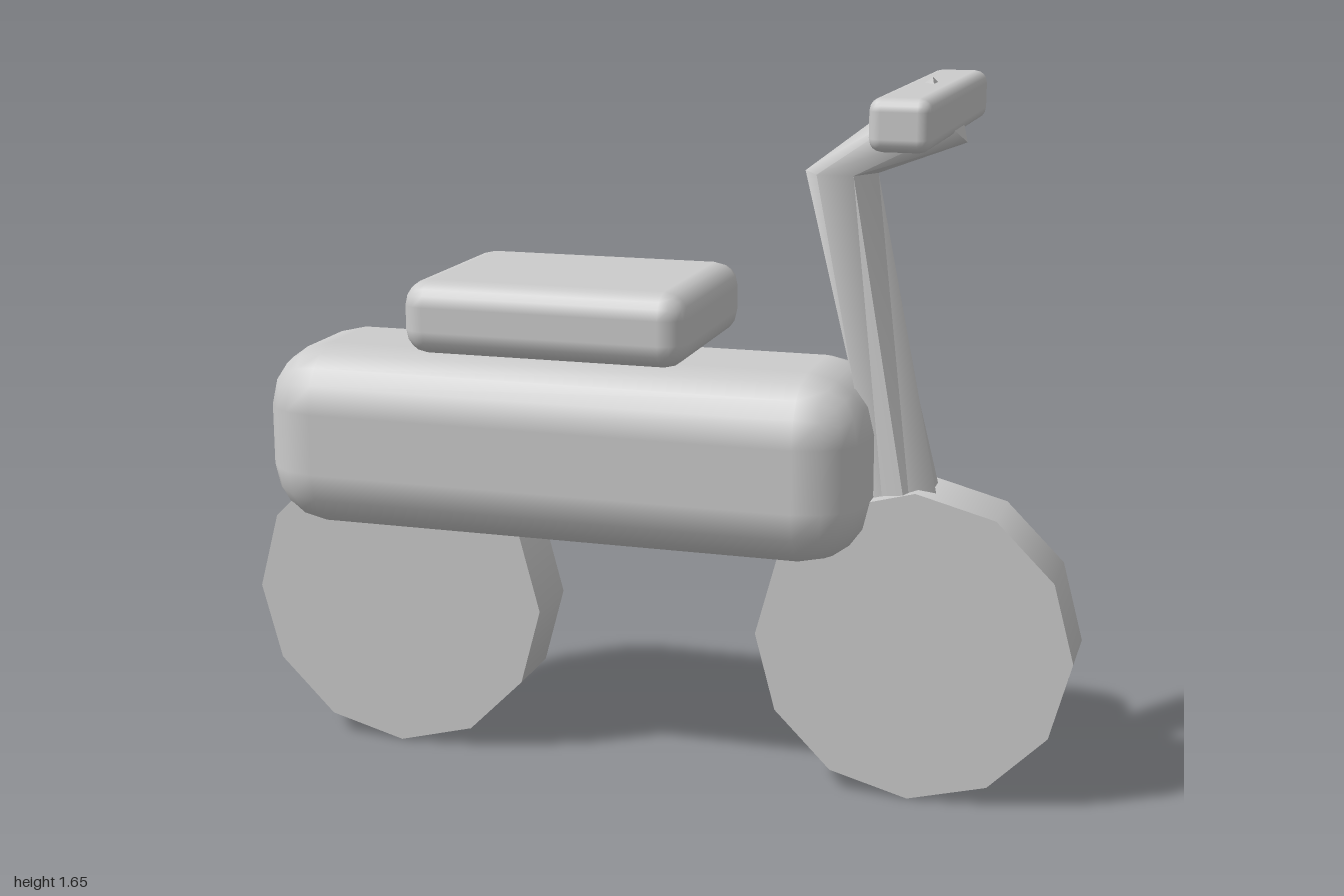
import * as THREE from 'three';
import { toCreasedNormals } from 'three/addons/utils/BufferGeometryUtils.js';
import { RoundedBoxGeometry } from 'three/addons/geometries/RoundedBoxGeometry.js';

// Six-sided steering stem lofted through rings: centre, ring axis in the xy plane, radius, twist
function stemGeometry() {
  const sides = 6;
  const rings = [
    { c: [0.645, 0.5], u: [0.97, 0.22], r: 0.085, twist: Math.PI / 6 },
    { c: [0.432, 1.44], u: [1, 0], r: 0.083, twist: 0 },
    { c: [0.67, 1.584], u: [0.5, -0.866], r: 0.081, twist: 0 },
  ];
  const pos = [], index = [];
  for (const { c, u, r, twist } of rings) {
    for (let j = 0; j < sides; j++) {
      const t = (j / sides) * Math.PI * 2 + twist;
      const k = r * Math.cos(t);
      pos.push(c[0] + k * u[0], c[1] + k * u[1], r * Math.sin(t));
    }
  }
  for (let i = 0; i < rings.length - 1; i++) {
    for (let j = 0; j < sides; j++) {
      const a = i * sides + j, b = i * sides + ((j + 1) % sides);
      index.push(a, a + sides, b, b, a + sides, b + sides);
    }
  }
  // End caps
  const top = (rings.length - 1) * sides;
  for (let j = 1; j < sides - 1; j++) {
    index.push(0, j, j + 1, top, top + j + 1, top + j);
  }
  const geometry = new THREE.BufferGeometry();
  geometry.setAttribute('position', new THREE.Float32BufferAttribute(pos, 3));
  geometry.setIndex(index);
  return toCreasedNormals(geometry, 1.2);
}

export function createModel() {
  const model = new THREE.Group();
  model.name = 'scooter';
  const grey = new THREE.MeshStandardMaterial({ color: 0xcccccc });
  grey.name = 'lightGrey';

  const add = (name, geometry, x = 0, y = 0, z = 0) => {
    const mesh = new THREE.Mesh(geometry, grey);
    mesh.name = name;
    mesh.position.set(x, y, z);
    model.add(mesh);
    return mesh;
  };

  // Twelve-sided wheels
  for (const [name, x] of [['rearWheel', -0.633], ['frontWheel', 0.633]]) {
    const wheel = new THREE.CylinderGeometry(0.367, 0.367, 0.174, 12);
    wheel.rotateX(Math.PI / 2);
    add(name, wheel, x, 0.367, 0);
  }

  // Body, seat and handlebar
  add('body', new RoundedBoxGeometry(1.456, 0.44, 0.488, 2, 0.147), -0.198, 0.78, 0);
  add('seat', new RoundedBoxGeometry(0.674, 0.172, 0.53, 2, 0.058), -0.198, 1.1, 0);
  add('handlebar', new RoundedBoxGeometry(0.132, 0.112, 0.774, 2, 0.028), 0.629, 1.585, 0);

  // Bent steering stem
  add('steeringStem', stemGeometry());

  return model;
}
